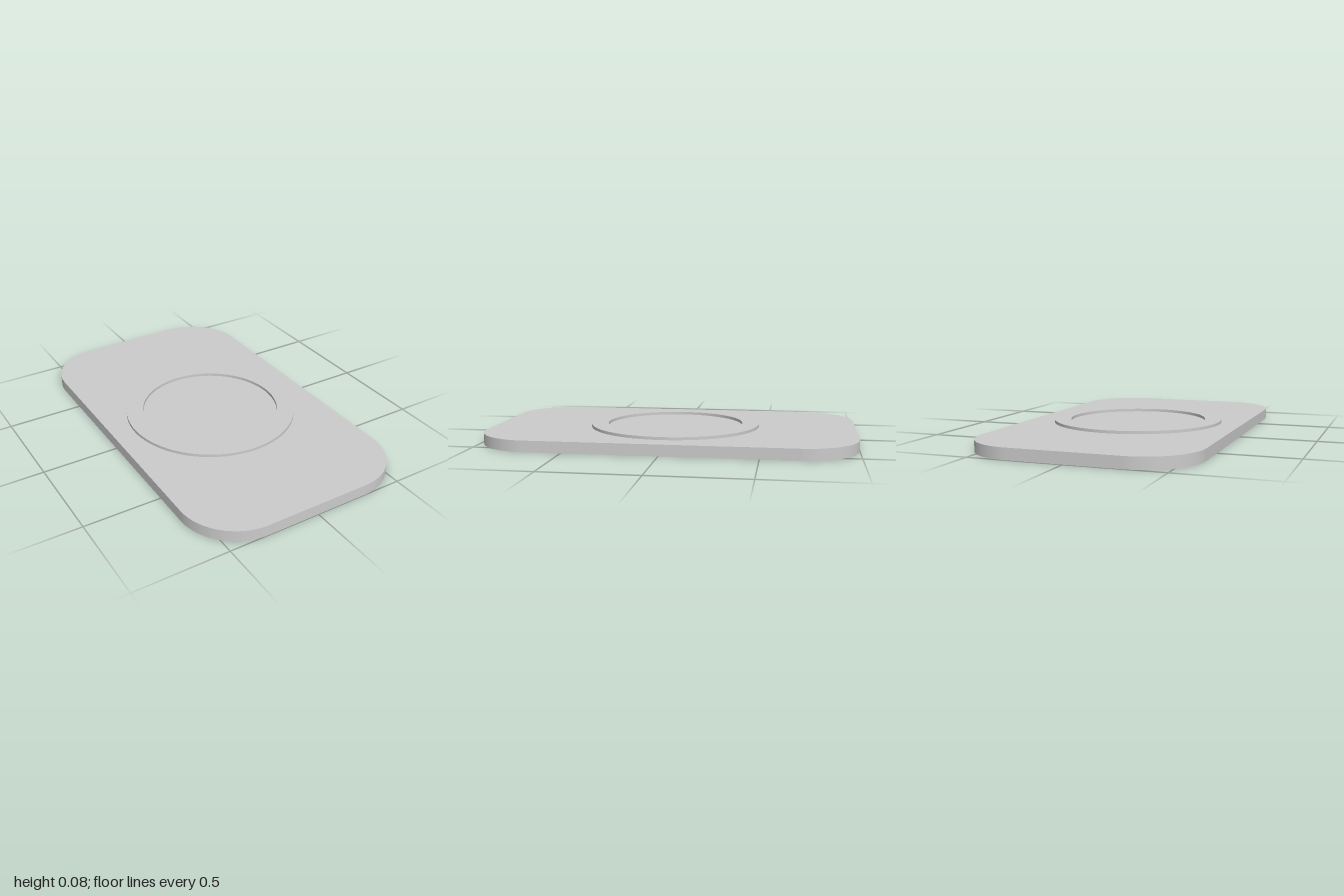
import * as THREE from 'three';
import { toCreasedNormals } from 'three/addons/utils/BufferGeometryUtils.js';

const HALF_W = 0.588, HALF_L = 1, CORNER = 0.3, THICK = 0.06;
const RING_OUT = 0.47, RING_IN = 0.377, RIM = 0.0155, SEGMENTS = 96;

const material = new THREE.MeshStandardMaterial({ color: 0xcccccc });

function part(name, geometry) {
  const mesh = new THREE.Mesh(geometry, material);
  mesh.name = name;
  return mesh;
}

// Rounded rectangle, counter-clockwise
function plateOutline() {
  const shape = new THREE.Shape();
  const x = HALF_W - CORNER, y = HALF_L - CORNER;
  [[x, -y], [x, y], [-x, y], [-x, -y]].forEach(([cx, cy], i) => {
    const start = (i - 1) * Math.PI / 2;
    shape.absarc(cx, cy, CORNER, start, start + Math.PI / 2, false);
  });
  return shape.getPoints(24);
}

// Flat plate face with a round opening at its centre
function plateFace(outline) {
  const shape = new THREE.Shape(outline);
  const circle = [];
  for (let i = 0; i < SEGMENTS; i++) {
    const a = -i / SEGMENTS * Math.PI * 2;
    circle.push(new THREE.Vector2(RING_OUT * Math.cos(a), RING_OUT * Math.sin(a)));
  }
  shape.holes.push(new THREE.Path(circle));
  return new THREE.ShapeGeometry(shape);
}

// Vertical wall following the outline
function plateWall(outline) {
  const n = outline.length;
  const geometry = new THREE.PlaneGeometry(1, 1, n, 1);
  const pos = geometry.attributes.position;
  for (let i = 0; i < pos.count; i++) {
    const p = outline[(i % (n + 1)) % n];
    pos.setXYZ(i, p.x, i <= n ? THICK : 0, -p.y);
  }
  return toCreasedNormals(geometry, 0.5);
}

function turned(points) {
  const profile = points.map(([x, y]) => new THREE.Vector2(x, y));
  return toCreasedNormals(new THREE.LatheGeometry(profile, SEGMENTS), 0.5);
}

export function createModel() {
  const model = new THREE.Group();
  model.name = 'stackingPlate';
  const outline = plateOutline();

  // Plate body
  const plate = new THREE.Group();
  plate.name = 'plate';
  plate.add(
    part('plateTop', plateFace(outline).rotateX(-Math.PI / 2).translate(0, THICK, 0)),
    part('plateBottom', plateFace(outline).rotateX(Math.PI / 2)),
    part('plateWall', plateWall(outline))
  );

  // Raised ring with its inner floor level with the plate
  const ring = part('raisedRing', turned([
    [RING_OUT, THICK], [RING_OUT, THICK + RIM], [RING_IN, THICK + RIM], [RING_IN, THICK], [0, THICK]
  ]));

  // Shallow round recess underneath
  const recess = part('bottomRecess', turned([[0, RIM], [RING_OUT, RIM], [RING_OUT, 0]]));

  model.add(plate, ring, recess);
  return model;
}
